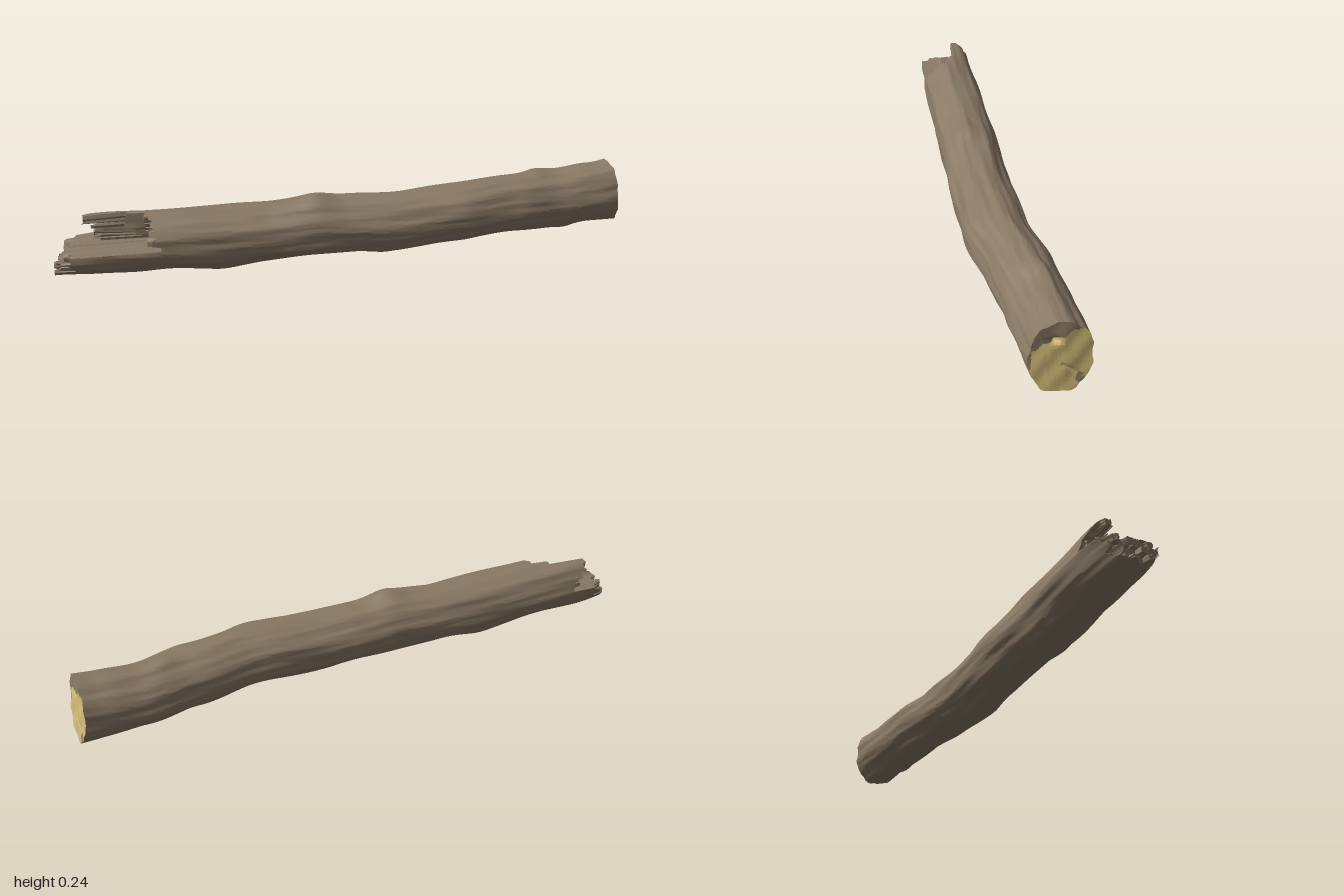
import * as THREE from 'three';
import { toCreasedNormals } from 'three/addons/utils/BufferGeometryUtils.js';

const TAU = Math.PI * 2;

// Cross-section stations along the log: x, bottom, top, back, front
const STATIONS = [
  [-1.02, 0.035, 0.215, -0.08, 0.085],
  [-0.85, 0.028, 0.225, -0.092, 0.1],
  [-0.68, 0.025, 0.222, -0.092, 0.112],
  [-0.45, 0.008, 0.22, -0.092, 0.115],
  [-0.3, 0.018, 0.218, -0.088, 0.119],
  [-0.12, 0.022, 0.226, -0.083, 0.122],
  [0.0, 0.022, 0.216, -0.08, 0.122],
  [0.13, 0.012, 0.214, -0.079, 0.126],
  [0.38, 0.028, 0.224, -0.083, 0.126],
  [0.6, 0.026, 0.226, -0.112, 0.092],
  [0.78, 0.016, 0.22, -0.131, 0.068],
  [0.9, 0.018, 0.232, -0.134, 0.058],
  [1.02, 0.016, 0.247, -0.134, 0.052],
];

// Knots in the bark: x, angle, length, spread, height
const KNOTS = [
  [-0.12, 1.5, 0.05, 0.5, 0.014],
  [-0.45, -1.6, 0.05, 0.5, 0.008],
  [0.13, -1.3, 0.06, 0.5, 0.006],
  [0.7, 1.7, 0.04, 0.4, 0.01],
  [0.38, 0.5, 0.07, 0.35, 0.008],
  [-0.3, 0.9, 0.04, 0.25, -0.004],
  [0.8, -1.2, 0.04, 0.4, 0.006],
];

const smooth = (t) => t * t * (3 - 2 * t);
const hash = (a, b) => {
  const s = Math.sin(a * 127.1 + b * 311.7) * 43758.5453;
  return s - Math.floor(s);
};

function station(x) {
  let i = 0;
  while (i < STATIONS.length - 2 && x > STATIONS[i + 1][0]) i++;
  const a = STATIONS[i], b = STATIONS[i + 1];
  const t = smooth(THREE.MathUtils.clamp((x - a[0]) / (b[0] - a[0]), 0, 1));
  return a.map((v, k) => v + (b[k] - v) * t);
}

// Point of the log at x, angle (0 = front, quarter turn = top) and relative radius
function logPoint(x, angle, r) {
  const [, bottom, top, back, front] = station(x);
  let relief = 0.0022 * Math.sin(7 * angle + 3 * x + Math.sin(5 * x))
    + 0.0016 * Math.sin(13 * angle - 5 * x)
    + 0.0018 * Math.sin(4 * angle + 17 * x)
    + 0.0008 * Math.sin(23 * angle + 11 * x);
  for (const [kx, ka, length, spread, height] of KNOTS) {
    const d = Math.atan2(Math.sin(angle - ka), Math.cos(angle - ka));
    relief += height * Math.exp(-(((x - kx) / length) ** 2) - (d / spread) ** 2);
  }
  const c = Math.cos(angle), s = Math.sin(angle);
  return {
    y: (bottom + top) / 2 + r * s * ((top - bottom) / 2 + relief),
    z: (back + front) / 2 + r * c * ((front - back) / 2 + relief),
  };
}

// Where the broken end stops: long lower tongue, back splinter, missing front quarter
function brokenX(angle, r) {
  const { y, z } = logPoint(-0.8, angle, r);
  const chip = hash(Math.floor(z * 42), Math.floor(y * 42));
  if (y < 0.122) {
    if (z > 0.07) return -0.95 + 0.03 * chip;
    if (z < -0.06) return -0.96 + 0.04 * chip;
    return (y < 0.08 ? -1 : -0.965) + 0.035 * chip;
  }
  if (z < -0.02) return (y > 0.19 ? -0.9 : -0.87) + 0.05 * chip;
  if (y < 0.14) return -0.65 + 0.03 * chip;
  return (z < 0.005 ? -0.76 : -0.7) + 0.04 * chip;
}

// Where the sawn end stops: slightly slanted, with a hole and a crack
function sawnX(angle, r) {
  const { y, z } = logPoint(0.98, angle, r);
  const hole = Math.exp(-(((z + 0.025) / 0.014) ** 2) - ((y - 0.185) / 0.01) ** 2);
  const along = THREE.MathUtils.clamp((-0.045 - z) / 0.055, 0, 1);
  const crack = Math.hypot(z + 0.045 + 0.055 * along, y - 0.105 + 0.045 * along);
  return 1 - 0.11 * (y - 0.02) - 0.1 * Math.max(0, -z - 0.05)
    - 0.018 * hole - 0.006 * Math.exp(-((crack / 0.005) ** 2))
    + 0.0025 * Math.sin(70 * z + 1) * Math.sin(60 * y);
}

// Surface over a grid of u and v; keep(point) picks which triangles belong to it
function surface(nu, nv, f, crease, flip = false, keep = () => true) {
  const positions = [], index = [];
  for (let i = 0; i <= nu; i++)
    for (let j = 0; j <= nv; j++) positions.push(...f(i / nu, ((j % nv) / nv) * TAU));
  const add = (a, b, c) => {
    const middle = [0, 1, 2].map((k) => (positions[a * 3 + k] + positions[b * 3 + k] + positions[c * 3 + k]) / 3);
    if (keep(middle)) index.push(a, ...(flip ? [c, b] : [b, c]));
  };
  for (let i = 0; i < nu; i++)
    for (let j = 0; j < nv; j++) {
      const a = i * (nv + 1) + j, b = a + nv + 1;
      add(a, b, a + 1);
      add(b, b + 1, a + 1);
    }
  const g = new THREE.BufferGeometry();
  g.setAttribute('position', new THREE.Float32BufferAttribute(positions, 3));
  g.setIndex(index);
  return toCreasedNormals(g, crease);
}

export function createModel() {
  const bark = new THREE.MeshStandardMaterial({ color: 0x8a7a66 });
  bark.name = 'bark';
  const cutWood = new THREE.MeshStandardMaterial({ color: 0xd2bb78 });
  cutWood.name = 'cutWood';

  const model = new THREE.Group();
  model.name = 'log';
  const addPart = (name, geometry, material) => {
    const mesh = new THREE.Mesh(geometry, material);
    mesh.name = name;
    model.add(mesh);
  };
  const SIDES = 96;

  // Bark, trimmed at both ends to the shape of the breaks
  addPart('barkShell', surface(130, SIDES, (u, angle) => {
    const x = Math.min(Math.max(-1.02 + 2.04 * u, brokenX(angle, 1)), sawnX(angle, 1));
    const { y, z } = logPoint(x, angle, 1);
    return [x, y, z];
  }, 0.9), bark);

  // Splintered end
  addPart('brokenEnd', surface(22, SIDES, (r, angle) => {
    const x = brokenX(angle, r);
    const { y, z } = logPoint(x, angle, r);
    return [x, y, z];
  }, 0.5), bark);

  // Sawn end: pale wood with a weathered upper edge
  const endFace = (r, angle) => {
    const x = sawnX(angle, r);
    const { y, z } = logPoint(x, angle, r);
    return [x, y, z];
  };
  const isPale = ([, y, z]) => y < 0.178 - 0.4 * z + 0.004 * Math.sin(150 * z)
    && z < 0.043 + 0.2 * Math.max(0, 0.12 - y)
    && Math.hypot(z + 0.095, y - 0.055) > 0.014;
  addPart('sawnFace', surface(32, SIDES, endFace, 0.9, true, isPale), cutWood);
  addPart('weatheredEdge', surface(32, SIDES, endFace, 0.9, true, (p) => !isPale(p)), bark);

  // Rest on the ground, centred
  const box = new THREE.Box3().setFromObject(model);
  const centre = box.getCenter(new THREE.Vector3());
  for (const part of model.children) part.geometry.translate(-centre.x, -box.min.y, -centre.z);
  return model;
}
